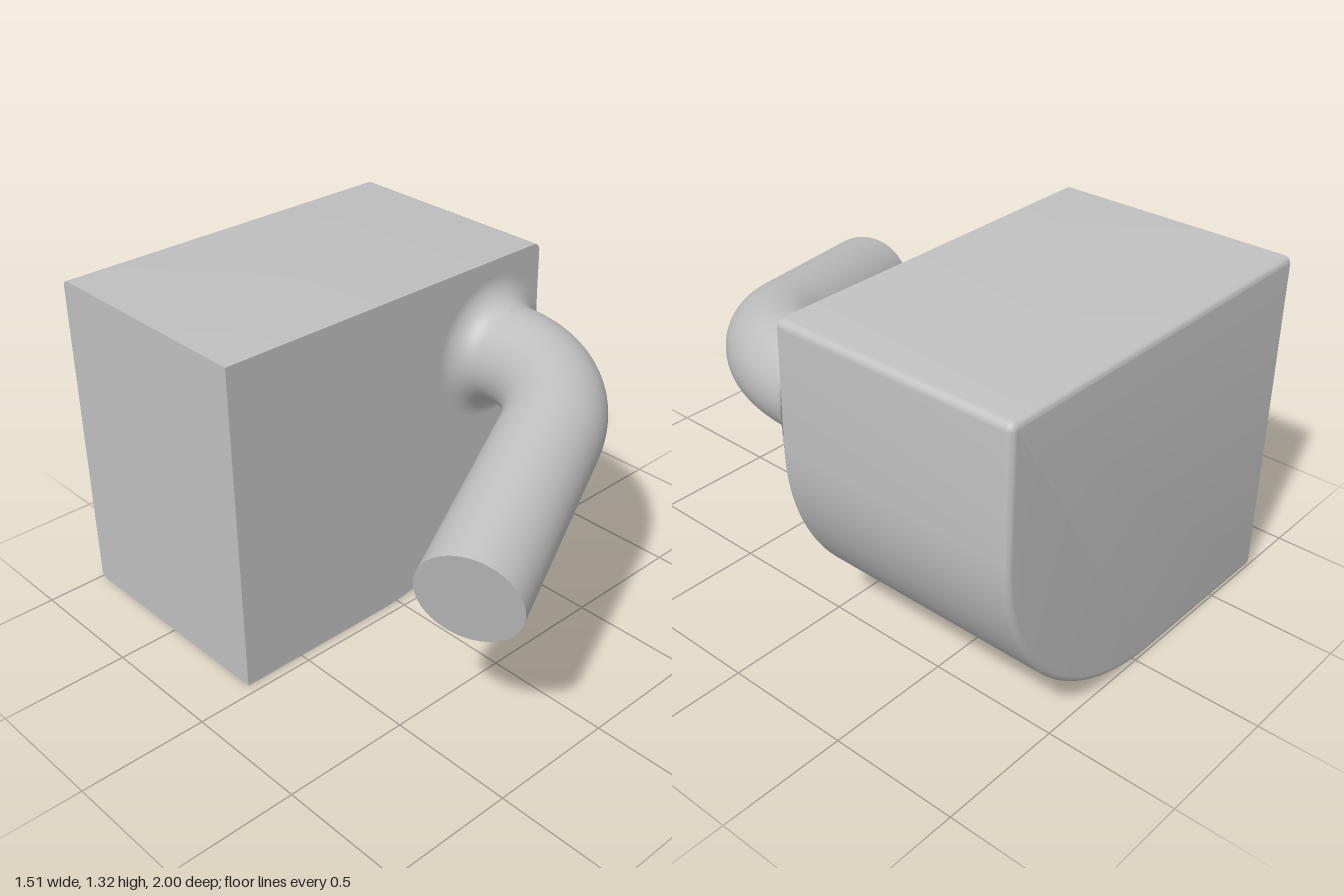
import * as THREE from 'three';
import { mergeGeometries, mergeVertices, toCreasedNormals } from 'three/addons/utils/BufferGeometryUtils.js';

const LEFT = -0.757, RIGHT = 0.757, TOP = 1.32, FRONT = -0.04, BACK = -1;
const EDGE = 0.025, SWEEP = 0.84, CORNER = 0.03;
const PIPE_R = 0.19, FILLET = 0.095, START = new THREE.Vector3(0.51, 0.96, FRONT + FILLET);

// Block outline, anticlockwise; every side but the flat left one moves in by inset
function outline(inset) {
  const pts = [new THREE.Vector2(LEFT, inset)];
  const arc = (cx, cy, r, from, to, n) => {
    for (let i = 0; i <= n; i++) {
      const a = from + (to - from) * i / n;
      pts.push(new THREE.Vector2(cx + r * Math.cos(a), cy + r * Math.sin(a)));
    }
  };
  arc(RIGHT - SWEEP, SWEEP, SWEEP - inset, -Math.PI / 2, 0, 48);
  arc(RIGHT - CORNER, TOP - CORNER, CORNER - inset, 0, Math.PI / 2, 6);
  pts.push(new THREE.Vector2(LEFT, TOP - inset));
  return pts;
}

// Block: outline rings from front to the rounded back edge, closed by two caps
function blockGeometry() {
  const rings = [{ inset: 0, z: FRONT }];
  for (let i = 0; i <= 6; i++) {
    const a = i / 6 * Math.PI / 2;
    rings.push({ inset: EDGE * (1 - Math.cos(a)), z: BACK + EDGE * (1 - Math.sin(a)) });
  }
  const pos = [], index = [];
  const n = outline(0).length;
  rings.forEach(({ inset, z }) => outline(inset).forEach(p => pos.push(p.x, p.y, z)));
  for (let r = 0; r < rings.length - 1; r++) {
    for (let i = 0; i < n; i++) {
      const a = r * n + i, b = r * n + (i + 1) % n;
      index.push(a, a + n, b, b, a + n, b + n);
    }
  }
  const sides = new THREE.BufferGeometry();
  sides.setAttribute('position', new THREE.Float32BufferAttribute(pos, 3));
  sides.setIndex(index);

  const front = new THREE.ShapeGeometry(new THREE.Shape(outline(0))).translate(0, 0, FRONT);
  const back = new THREE.ShapeGeometry(new THREE.Shape(outline(EDGE))).translate(0, 0, BACK);
  back.index.array.reverse();
  const parts = [sides, front, back].map(g => {
    g.deleteAttribute('uv');
    g.deleteAttribute('normal');
    return g;
  });
  return toCreasedNormals(mergeVertices(mergeGeometries(parts)), 0.45);
}

// Pipe centre line: a bend away from the block, then a straight run
class PipePath extends THREE.Curve {
  constructor() {
    super();
    this.radius = 0.493;
    this.angle = THREE.MathUtils.degToRad(66.9);
    this.straight = 0.807;
    this.side = new THREE.Vector3(-0.976, -0.217, 0).normalize();
  }
  getPoint(t, target = new THREE.Vector3()) {
    const bend = this.radius * this.angle;
    const s = t * (bend + this.straight);
    const a = Math.min(s, bend) / this.radius, rest = Math.max(0, s - bend);
    const u = this.radius * (1 - Math.cos(a)) + rest * Math.sin(a);
    const z = this.radius * Math.sin(a) + rest * Math.cos(a);
    target.copy(START).addScaledVector(this.side, u);
    target.z += z;
    return target;
  }
}

// Flared collar at the pipe root, trimmed flush with the block's side
function collarGeometry() {
  const profile = [];
  for (let i = 0; i <= 16; i++) {
    const a = i / 16 * Math.PI / 2;
    profile.push(new THREE.Vector2(PIPE_R + FILLET * (1 - Math.sin(a)), FRONT + FILLET * (1 - Math.cos(a))));
  }
  const g = new THREE.LatheGeometry(profile, 96).rotateX(Math.PI / 2).translate(START.x, START.y, 0);
  const p = g.attributes.position;
  for (let i = 0; i < p.count; i++) p.setX(i, Math.min(p.getX(i), RIGHT));
  return g;
}

export function createModel() {
  const model = new THREE.Group();
  const grey = new THREE.MeshStandardMaterial({ color: 0xc0c0c0 });
  grey.name = 'plain grey';
  const add = (name, geometry) => {
    const mesh = new THREE.Mesh(geometry, grey);
    mesh.name = name;
    model.add(mesh);
    return mesh;
  };

  add('block', blockGeometry());
  add('collar', collarGeometry());

  const path = new PipePath();
  add('pipe', new THREE.TubeGeometry(path, 64, PIPE_R, 64));

  // Flat disc closing the free end
  const cap = add('pipeEnd', new THREE.CircleGeometry(PIPE_R, 64));
  cap.position.copy(path.getPoint(1));
  cap.quaternion.setFromUnitVectors(new THREE.Vector3(0, 0, 1), path.getTangent(1));
  return model;
}
